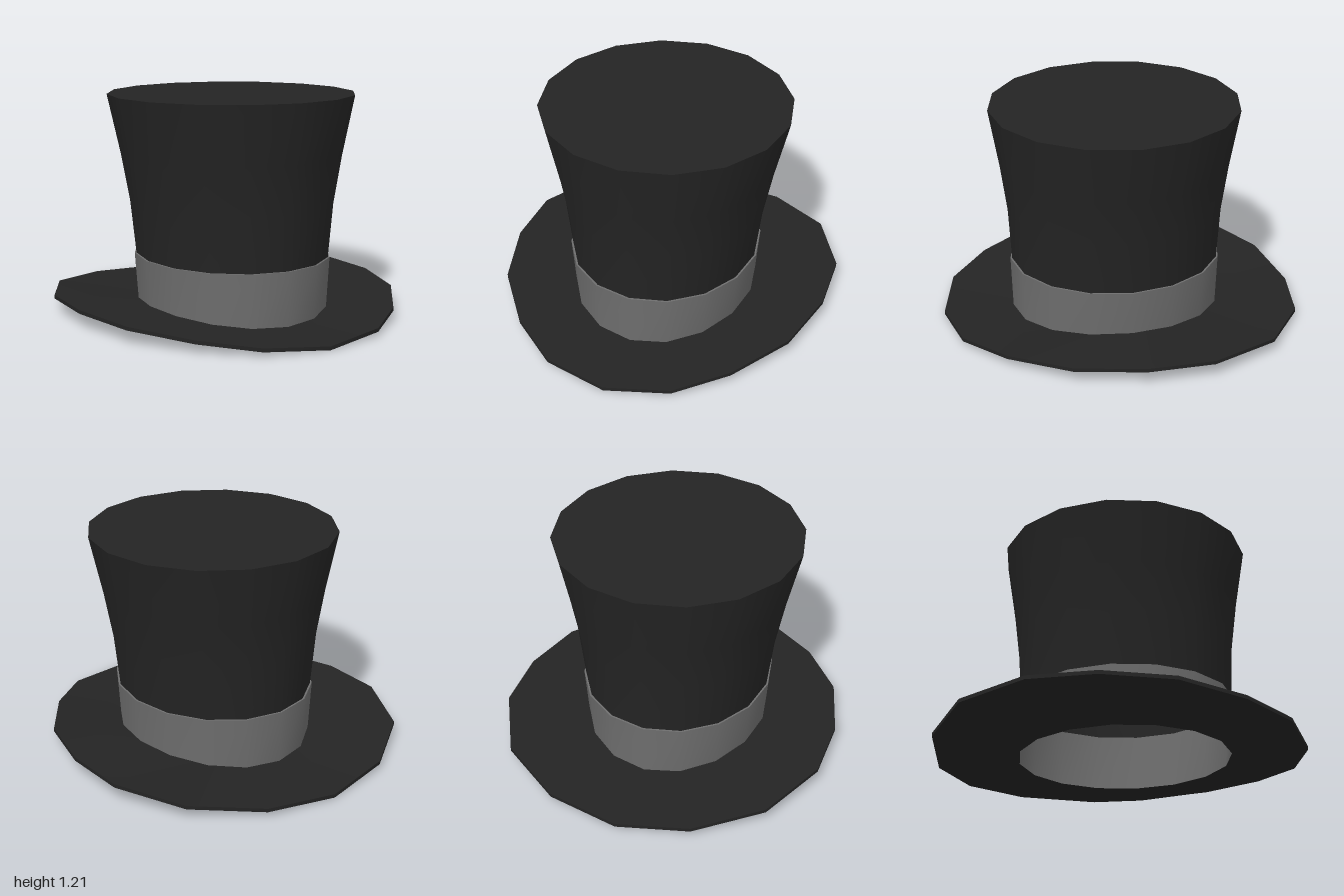
import * as THREE from 'three';

const SIDES = 16;
const CENTRE_Z = 0.025;

// Right half of the brim outline [x, z], from front to back
const HALF = [[0, 1], [0.35, 0.925], [0.61, 0.715], [0.835, 0.4], [0.93, 0.03],
  [0.92, -0.33], [0.735, -0.7], [0.395, -0.93], [0, -1]];
const OUTLINE = [...HALF, ...HALF.slice(1, -1).reverse().map(([x, z]) => [-x, z])];

// One elliptical ring of the crown
function ellipse(rx, rz, height) {
  return Array.from({ length: SIDES }, (_, i) => {
    const a = (i / SIDES) * Math.PI * 2;
    const x = Math.sin(a) * rx;
    return [x, typeof height === 'function' ? height(x / rx) : height, CENTRE_Z + Math.cos(a) * rz];
  });
}

// Smooth surface through closed rings, facing outward when listed upward
function loft(rings) {
  const index = [];
  for (let r = 0; r < rings.length - 1; r++) {
    for (let i = 0; i < SIDES; i++) {
      const j = (i + 1) % SIDES;
      const a = r * SIDES + i, b = r * SIDES + j;
      index.push(a, b, b + SIDES, a, b + SIDES, a + SIDES);
    }
  }
  const geometry = new THREE.BufferGeometry();
  geometry.setAttribute('position', new THREE.Float32BufferAttribute(rings.flat(2), 3));
  geometry.setIndex(index);
  geometry.computeVertexNormals();
  return geometry;
}

export function createModel() {
  const black = new THREE.MeshStandardMaterial({ color: 0x242424, side: THREE.DoubleSide });
  black.name = 'black felt';
  const grey = new THREE.MeshStandardMaterial({ color: 0x6e6e6e });
  grey.name = 'grey ribbon';

  const hat = new THREE.Group();
  hat.name = 'topHat';
  const add = (name, geometry, material) => {
    const mesh = new THREE.Mesh(geometry, material);
    mesh.name = name;
    hat.add(mesh);
  };

  // Flared crown wall and its flat lid
  add('crown', loft([
    ellipse(0.52, 0.583, 0.32), ellipse(0.555, 0.597, 0.62),
    ellipse(0.605, 0.63, 0.88), ellipse(0.68, 0.683, 1.205),
  ]), black);
  add('crownTop', loft([ellipse(0.68, 0.683, 1.205), ellipse(0, 0, 1.205)]), black);

  // Ribbon around the foot of the crown, with its upper edge and inner face
  add('band', loft([ellipse(0.505, 0.585, 0.01), ellipse(0.53, 0.593, 0.32)]), grey);
  add('bandEdge', loft([ellipse(0.53, 0.593, 0.32), ellipse(0.518, 0.581, 0.32)]), grey);
  add('bandInside', loft([ellipse(0.518, 0.581, 0.32), ellipse(0.495, 0.575, 0)]), grey);

  // Brim that curls up at both sides
  const curl = (x) => 0.02 + 0.085 * Math.abs(x / 0.93) ** 1.3;
  const rimTop = OUTLINE.map(([x, z]) => [x, curl(x), z]);
  const rimBottom = OUTLINE.map(([x, z]) => [x, curl(x) - 0.02, z]);
  const belly = OUTLINE.map(([x, z]) => [x * 0.78, 0.004, z * 0.78]);
  const innerTop = ellipse(0.5, 0.58, (s) => 0.022 + 0.043 * s * s);
  add('brimUnderside', loft([ellipse(0.495, 0.575, 0), belly, rimBottom]), black);
  add('brimEdge', loft([rimBottom, rimTop]), black);
  add('brimTop', loft([rimTop, innerTop]), black);

  return hat;
}
